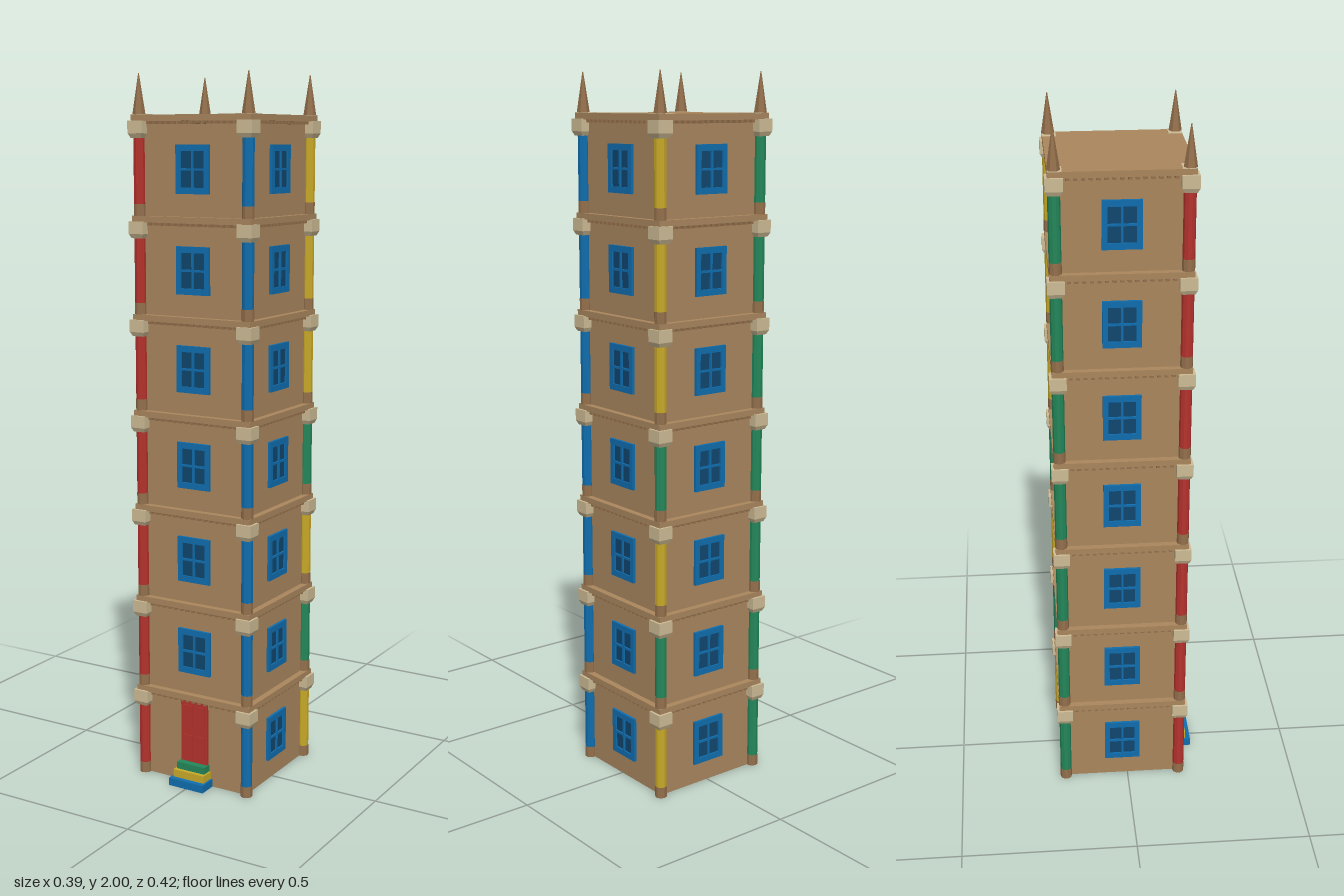
import * as THREE from 'three';

const mat = (name, color) => {
  const m = new THREE.MeshStandardMaterial({ color });
  m.name = name;
  return m;
};

export function createModel() {
  const tan = mat('tan stone', 0xa9865d);
  const cream = mat('cream stone', 0xcdbb94);
  const brown = mat('brown stone', 0x94704c);
  const red = mat('red', 0xb5322d);
  const blue = mat('blue', 0x0f6dae);
  const glass = mat('dark blue glass', 0x10466e);
  const green = mat('green', 0x23875a);
  const yellow = mat('yellow', 0xc8a928);

  const STOREYS = 7, PITCH = 0.27, WALL = 0.168, EAVE = 0.187, COL = 0.171;

  const add = (parent, name, geo, material, x = 0, y = 0, z = 0) => {
    const mesh = new THREE.Mesh(geo, material);
    mesh.name = name;
    mesh.position.set(x, y, z);
    parent.add(mesh);
    return mesh;
  };
  const box = (parent, name, m, w, h, d, x, y, z) =>
    add(parent, name, new THREE.BoxGeometry(w, h, d), m, x, y, z);
  const facets = (r1, r2, h, n) => new THREE.CylinderGeometry(r1, r2, h, n).toNonIndexed();
  const flat = (geo) => { geo.computeVertexNormals(); return geo; };

  const model = new THREE.Group();
  model.name = 'model';
  const tower = new THREE.Group();
  tower.name = 'tower';
  tower.position.z = -0.016;
  model.add(tower);

  // Window facing +z: pane, outer frame with an opening per pane
  const frameShape = new THREE.Shape();
  frameShape.moveTo(-0.052, -0.065).lineTo(0.052, -0.065).lineTo(0.052, 0.065).lineTo(-0.052, 0.065);
  for (const x of [-0.02, 0.02]) {
    for (const y of [-0.0255, 0.0255]) {
      const hole = new THREE.Path();
      hole.moveTo(x - 0.017, y - 0.0225).lineTo(x - 0.017, y + 0.0225)
        .lineTo(x + 0.017, y + 0.0225).lineTo(x + 0.017, y - 0.0225);
      frameShape.holes.push(hole);
    }
  }
  const frameGeo = new THREE.ExtrudeGeometry(frameShape, { depth: 0.008, bevelEnabled: false });
  const makeWindow = () => {
    const g = new THREE.Group();
    g.name = 'window';
    add(g, 'windowFrame', frameGeo, blue);
    box(g, 'windowPane', glass, 0.09, 0.115, 0.003, 0, 0, 0.0015);
    return g;
  };

  // Panelled door facing +z
  const makeDoor = () => {
    const g = new THREE.Group();
    g.name = 'door';
    box(g, 'doorLeaf', red, 0.086, 0.187, 0.008, 0, 0.157, 0.004);
    for (const x of [-0.02, 0.02])
      for (const [y, h] of [[0.11, 0.07], [0.2, 0.07]])
        box(g, 'doorPanel', red, 0.03, h, 0.003, x, y, 0.009);
    return g;
  };

  // Column colour for each corner, listed from the ground up
  const repeat = (m) => Array(STOREYS).fill(m);
  const corners = [
    { x: -1, z: 1, colors: repeat(red) },
    { x: 1, z: 1, colors: repeat(blue) },
    { x: -1, z: -1, colors: repeat(green) },
    { x: 1, z: -1, colors: [yellow, green, yellow, green, yellow, yellow, yellow] },
  ];
  const shaftGeo = flat(facets(0.0165, 0.0165, 0.18, 10));
  const baseGeo = flat(facets(0.017, 0.017, 0.032, 10));
  const neckGeo = flat(facets(0.032, 0.024, 0.012, 4).rotateY(Math.PI / 4));

  for (let i = 0; i < STOREYS; i++) {
    const storey = new THREE.Group();
    storey.name = 'storey' + (i + 1);
    storey.position.y = i * PITCH;
    tower.add(storey);

    box(storey, 'walls', tan, WALL * 2, 0.255, WALL * 2, 0, 0.1275, 0);
    box(storey, 'cornice', tan, EAVE * 2, 0.017, EAVE * 2, 0, 0.2615, 0);

    // Four sides: window or door, and dentils under the cornice
    for (let s = 0; s < 4; s++) {
      const side = new THREE.Group();
      side.name = 'side';
      side.rotation.y = s * Math.PI / 2;
      storey.add(side);
      const opening = i === 0 && s === 0 ? makeDoor() : makeWindow();
      opening.position.z = WALL;
      if (opening.name === 'window') opening.position.y = 0.126;
      side.add(opening);
      for (let k = -7; k <= 7; k++)
        box(side, 'dentil', brown, 0.01, 0.008, 0.014, k * 0.0195, 0.249, WALL + 0.007);
    }

    // Corner columns
    for (const c of corners) {
      const column = new THREE.Group();
      column.name = 'column';
      column.position.set(c.x * COL, 0, c.z * COL);
      storey.add(column);
      add(column, 'columnBase', baseGeo, brown, 0, 0.016, 0);
      add(column, 'columnShaft', shaftGeo, c.colors[i], 0, 0.12, 0);
      add(column, 'capitalNeck', neckGeo, cream, 0, 0.215, 0);
      box(column, 'capital', cream, 0.046, 0.034, 0.046, 0, 0.238, 0);
    }
  }

  // Corner plates and spires on the roof
  const top = STOREYS * PITCH;
  const spireGeo = flat(facets(0.001, 0.018, 0.11, 6));
  for (const c of corners) {
    box(tower, 'cornerPlate', cream, 0.047, 0.002, 0.037, c.x * 0.1635, top + 0.0005, c.z * 0.1685);
    add(tower, 'spire', spireGeo, brown, c.x * COL, top + 0.055, c.z * COL);
  }

  // Doorsteps: material, width, height, front edge
  const steps = [[blue, 0.114, 0.022, 0.223], [yellow, 0.102, 0.044, 0.208], [green, 0.092, 0.064, 0.196]];
  for (const [m, w, h, front] of steps)
    box(tower, 'doorstep', m, w, h, front - WALL, 0, h / 2, (front + WALL) / 2);

  return model;
}
